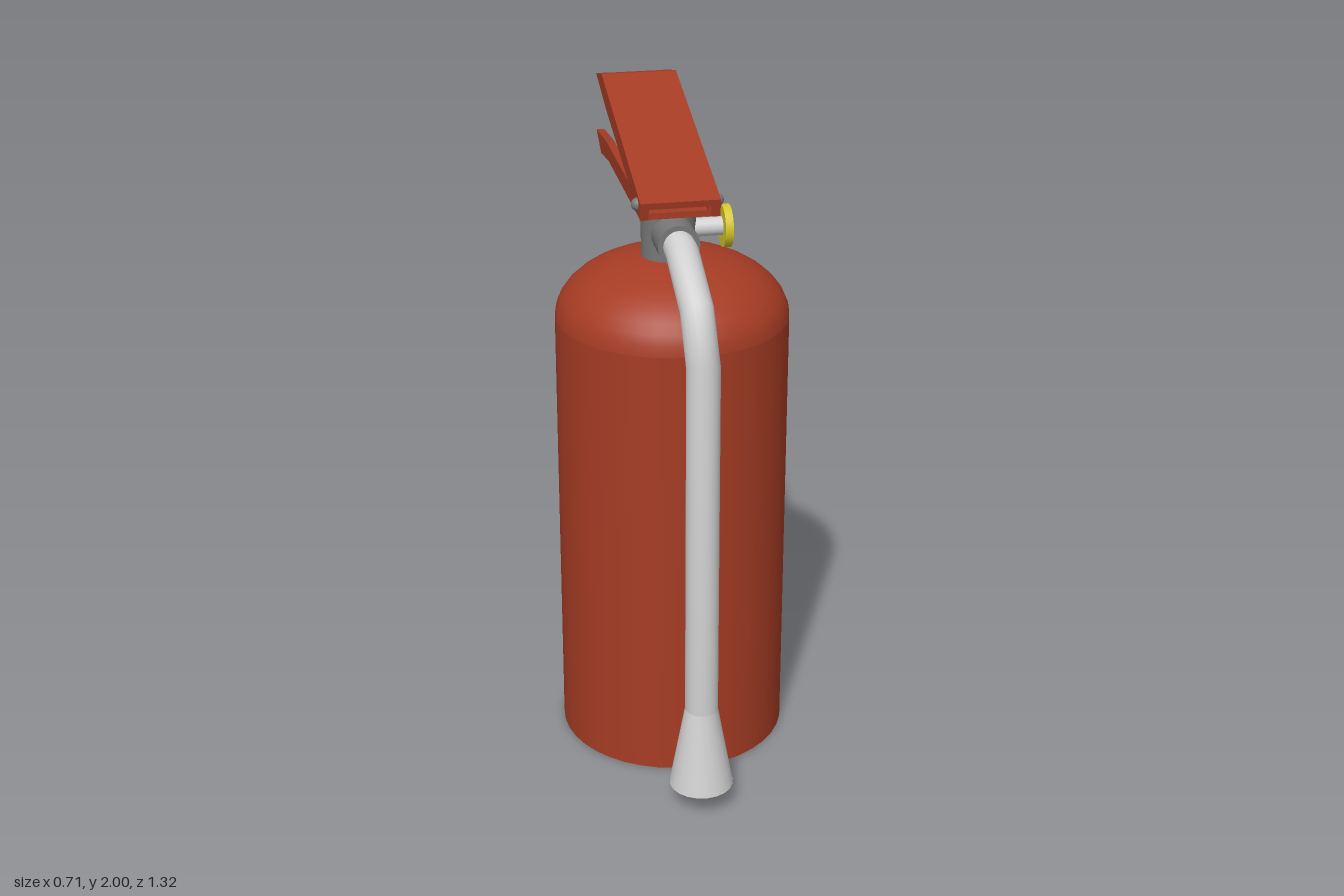
import * as THREE from 'three';

const mat = (name, color, side = THREE.FrontSide) => {
  const m = new THREE.MeshStandardMaterial({ color, side });
  m.name = name;
  return m;
};

// Extrudes a [z, y] side outline across x from x0 to x1
function sidePlate(outline, x0, x1) {
  const shape = new THREE.Shape(outline.map(([z, y]) => new THREE.Vector2(z, y)));
  const geo = new THREE.ExtrudeGeometry(shape, { depth: x1 - x0, bevelEnabled: false });
  return geo.rotateY(-Math.PI / 2).translate(x1, 0, 0);
}

// Round tube with mitred bends through [z, y, radius] points at a fixed x
function mitredTube(points, x, sides) {
  const pos = [], index = [];
  const v = points.map(([z, y]) => new THREE.Vector2(z, y));
  points.forEach(([z, y, r], i) => {
    const a = v[Math.max(i, 1)].clone().sub(v[Math.max(i, 1) - 1]).normalize();
    const j = Math.min(i, v.length - 2);
    const b = v[j + 1].clone().sub(v[j]).normalize();
    const t = a.clone().add(b).normalize();
    const stretch = r / t.dot(a);
    for (let k = 0; k < sides; k++) {
      const ang = (k / sides) * Math.PI * 2;
      const s = Math.sin(ang) * stretch;
      pos.push(x + Math.cos(ang) * r, y + t.x * s, z - t.y * s);
      if (i > 0) {
        const k2 = (k + 1) % sides, p = (i - 1) * sides, q = i * sides;
        index.push(p + k, p + k2, q + k, p + k2, q + k2, q + k);
      }
    }
  });
  const geo = new THREE.BufferGeometry();
  geo.setAttribute('position', new THREE.Float32BufferAttribute(pos, 3));
  geo.setIndex(index);
  geo.computeVertexNormals();
  return geo;
}

export function createModel() {
  const group = new THREE.Group();
  const red = mat('red paint', 0xa63c24);
  const grey = mat('dark metal', 0x787878);
  const light = mat('light rubber', 0xd0d0d0, THREE.DoubleSide);
  const yellow = mat('yellow gauge', 0xd6c62c);
  const add = (name, geo, material, x = 0, y = 0, z = 0) => {
    const m = new THREE.Mesh(geo, material);
    m.name = name;
    m.position.set(x, y, z);
    group.add(m);
    return m;
  };

  // Tank: straight wall, base disc and elliptical dome
  const R = 0.355, cz = 0.02;
  add('tankWall', new THREE.CylinderGeometry(R, R, 1.4, 40), red, 0, 0.7, cz);
  const dome = [];
  for (let i = 0; i <= 10; i++) {
    const a = (i / 10) * Math.PI / 2;
    dome.push(new THREE.Vector2(Math.max(R * Math.cos(a), 0), 1.4 + 0.202 * Math.sin(a)));
  }
  add('tankDome', new THREE.LatheGeometry(dome, 40), red, 0, 0, cz);

  // Valve neck and hose connector
  add('valveNeck', new THREE.CylinderGeometry(0.082, 0.082, 0.19, 24), grey, -0.013, 1.657, 0.025);
  add('hoseConnector', new THREE.CylinderGeometry(0.063, 0.063, 0.17, 24).rotateX(Math.PI / 2),
    grey, -0.012, 1.675, 0.107);

  // Hose ending in a flared nozzle
  const hx = -0.012;
  add('hose', mitredTube([
    [0.15, 1.678, 0.046], [0.245, 1.672, 0.049], [0.457, 1.578, 0.049],
    [0.555, 1.443, 0.049], [0.56, 0.335, 0.05],
  ], hx, 20), light);
  add('nozzle', mitredTube([[0.56, 0.335, 0.05], [0.563, 0.075, 0.097]], hx, 20), light);
  add('nozzleEnd', new THREE.CircleGeometry(0.097, 20).rotateX(Math.PI / 2), light, hx, 0.077, 0.563);

  // Gauge on the model's left
  add('gaugeStem', new THREE.CylinderGeometry(0.028, 0.028, 0.12, 20).rotateZ(Math.PI / 2),
    light, 0.095, 1.673, 0.03);
  add('gauge', new THREE.CylinderGeometry(0.065, 0.065, 0.024, 24).rotateZ(Math.PI / 2),
    yellow, 0.16, 1.673, 0.03);

  // Upper lever: sloping plate with side flanges hanging down
  const upperFlange = [[0.175, 1.804], [0.164, 1.75], [-0.02, 1.802], [-0.446, 1.91],
    [-0.637, 1.973], [-0.525, 2.0]];
  const upperPlate = [[0.175, 1.804], [0.171, 1.784], [-0.525, 1.979],
    [-0.606, 1.96], [-0.61, 1.98], [-0.525, 2.0]];
  add('upperLeverPlate', sidePlate(upperPlate, -0.1, 0.095), red);
  add('upperLeverFlange', sidePlate(upperFlange, -0.122, -0.097), red);
  add('upperLeverFlange', sidePlate(upperFlange, 0.09, 0.115), red);

  // Lower handle: flat plate with side flanges standing up
  const lowerFlange = [[0.16, 1.75], [0.16, 1.79], [0.1, 1.802], [-0.46, 1.802],
    [-0.658, 1.782], [-0.568, 1.73], [-0.42, 1.75]];
  const lowerPlate = [[0.16, 1.75], [0.16, 1.769], [-0.42, 1.769],
    [-0.57, 1.749], [-0.568, 1.73], [-0.42, 1.75]];
  add('lowerHandlePlate', sidePlate(lowerPlate, -0.1, 0.085), red);
  add('lowerHandleFlange', sidePlate(lowerFlange, -0.12, -0.095), red);
  add('lowerHandleFlange', sidePlate(lowerFlange, 0.08, 0.105), red);

  // Hinge rivets
  for (const x of [-0.121, 0.114]) {
    add('hingeRivet', new THREE.SphereGeometry(0.02, 16, 12), grey, x, 1.787, 0.122);
  }
  return group;
}
